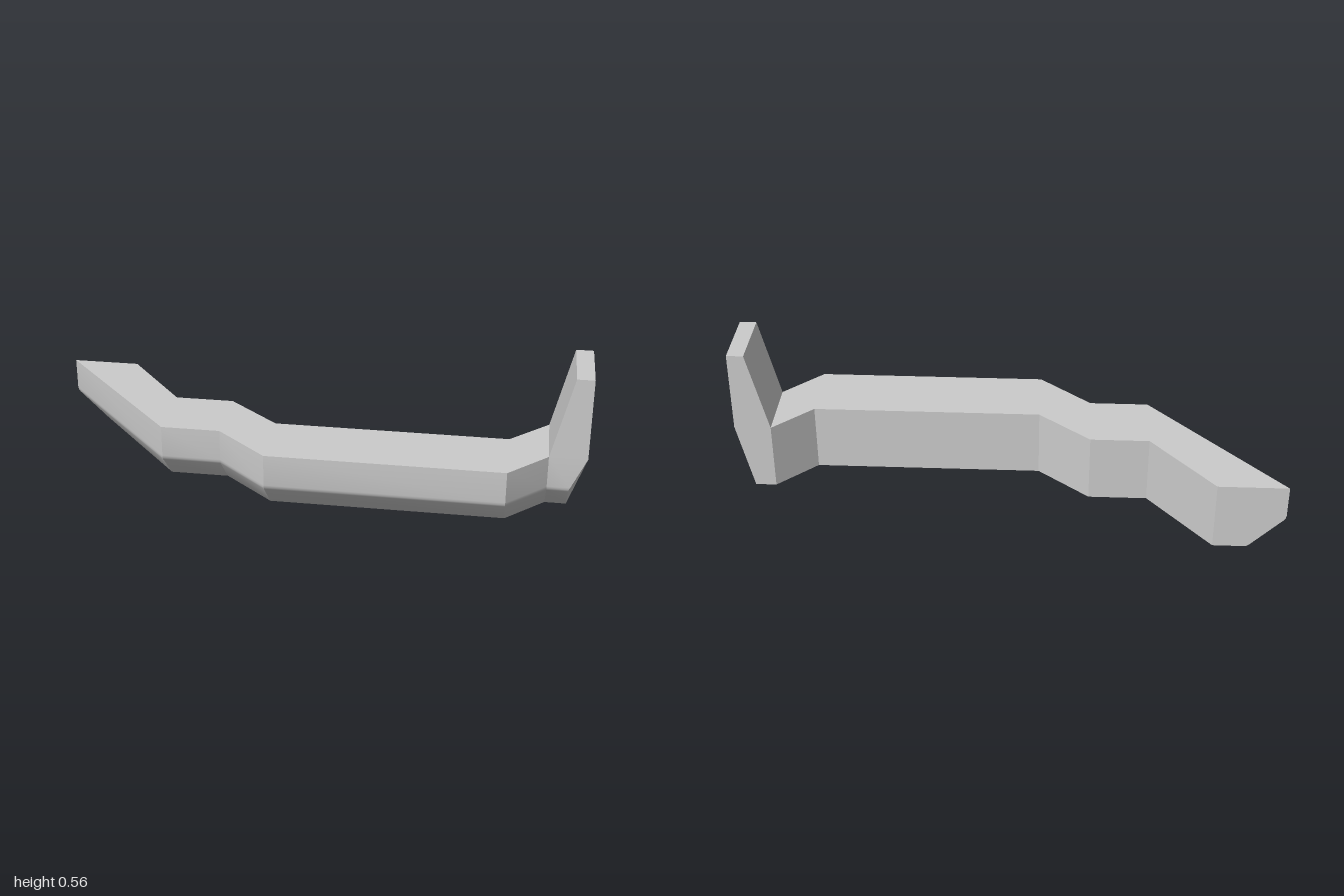
import * as THREE from 'three';
import { toCreasedNormals } from 'three/addons/utils/BufferGeometryUtils.js';

const material = new THREE.MeshStandardMaterial({ color: 0xcccccc });

// Skins a run of rings; skip(i, j) leaves a side open, caps close the ends.
function loft(rings, { skip = () => false, capStart = false, capEnd = false } = {}) {
  const positions = [];
  const tri = (...points) => points.forEach((p) => positions.push(...p));
  const n = rings[0].length;
  for (let i = 0; i < rings.length - 1; i++) {
    for (let j = 0; j < n; j++) {
      if (skip(i, j)) continue;
      const k = (j + 1) % n;
      const a = rings[i][j], b = rings[i][k], c = rings[i + 1][k], d = rings[i + 1][j];
      tri(a, b, c);
      tri(a, c, d);
    }
  }
  const cap = (r, flip) => {
    for (let k = 1; k < n - 1; k++) {
      const p = r[(k + 1) % n], q = r[(k + 2) % n];
      if (flip) tri(r[1], q, p);
      else tri(r[1], p, q);
    }
  };
  if (capStart) cap(rings[0], true);
  if (capEnd) cap(rings[rings.length - 1], false);
  const geometry = new THREE.BufferGeometry();
  geometry.setAttribute('position', new THREE.Float32BufferAttribute(positions, 3));
  return toCreasedNormals(geometry, 0.48);
}

function addMesh(group, name, geometry) {
  const mesh = new THREE.Mesh(geometry, material);
  mesh.name = name;
  group.add(mesh);
}

export function createModel() {
  const group = new THREE.Group();
  group.name = 'bumperRail';
  const top = 0.255;

  // Cross-section: [fraction from front to back, height], with a softened chamfer
  const profile = [
    [1, top], [0, top],
    [0, 0.138], [0.008, 0.128], [0.03, 0.119],
    [0.485, 0.006], [0.51, 0.002], [0.545, 0],
    [1, 0],
  ];
  profile[5] = [0.47, 0.01];

  // Stations along the rail: front x, front z, back x, back z
  const stations = [
    [-1, -0.345, -0.75, -0.345],
    [-0.525, 0.18, -0.525, -0.07],
    [-0.31, 0.18, -0.31, -0.07],
    [-0.12, 0.345, -0.12, 0.09],
    [0.725, 0.345, 0.725, 0.09],
    [0.865, 0.205, 0.865, -0.047],
    [0.942, 0.205, 0.942, -0.047],
  ];
  const last = stations.length - 1;
  const rings = stations.map(([fx, fz, bx, bz], i) => profile.map(([t, y]) => {
    // The outer end leans out above the chamfer
    const lean = i === last ? 0.058 * Math.max(0, (y - 0.128) / (top - 0.128)) : 0;
    return [fx + (bx - fx) * t + lean, y, fz + (bz - fz) * t];
  }));
  addMesh(group, 'rail', loft(rings, {
    skip: (i, j) => i === last - 1 && j === 0, // covered by the upright
    capStart: true,
    capEnd: true,
  }));

  // Upright tab at the left end, tapering on its inner side
  const tabRing = (inner, y) => [
    [inner, y, 0.205], [1, y, 0.205], [1, y, -0.047], [inner, y, -0.047],
  ];
  addMesh(group, 'uprightTab', loft([tabRing(0.865, top), tabRing(0.938, 0.557)], { capEnd: true }));

  return group;
}
